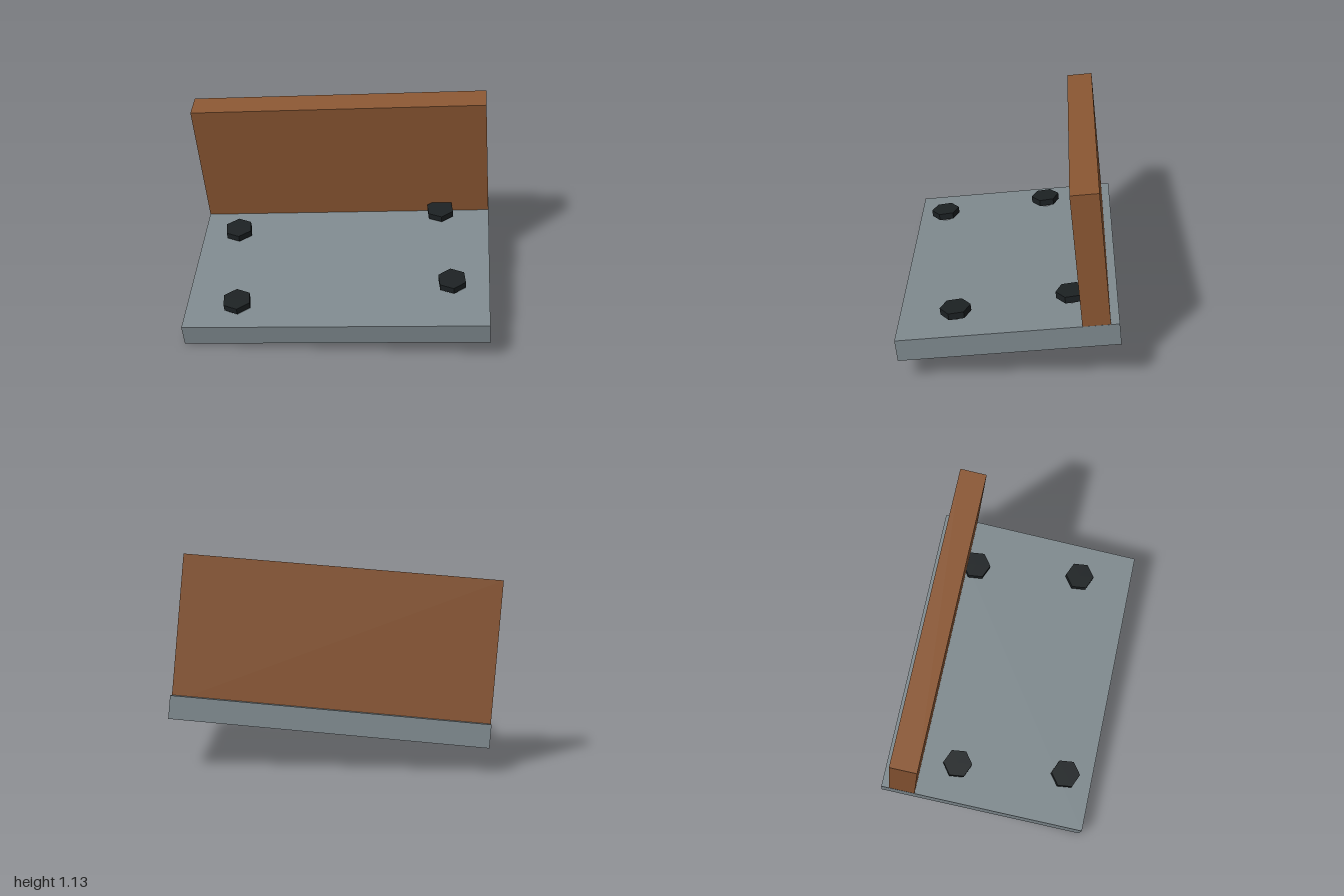
import * as THREE from 'three';

const mat = (color) => new THREE.MeshStandardMaterial({ color, flatShading: true });

export function createModel() {
  const model = new THREE.Group();
  model.name = 'bracket';

  // Tilted frame: origin at the middle of the plate's top face
  const frame = new THREE.Group();
  frame.name = 'tiltedBracket';
  frame.position.set(0.004, 0.259, 0.008);
  frame.rotation.set(0.112, 0.322, 0.079, 'YXZ');
  model.add(frame);

  const add = (parent, name, geometry, material, x, y, z) => {
    const mesh = new THREE.Mesh(geometry, material);
    mesh.name = name;
    mesh.position.set(x, y, z);
    parent.add(mesh);
    return mesh;
  };

  // Base plate
  add(frame, 'basePlate', new THREE.BoxGeometry(1.692, 0.124, 1.178), mat(0x7f8a8f), 0, -0.062, 0);

  // Upright panel, sunk a little into the plate near its back edge
  const top = 0.752, sink = 0.04;
  add(frame, 'uprightPanel', new THREE.BoxGeometry(1.69, top + sink, 0.148), mat(0x8b5733),
    0, (top - sink) / 2, -0.469);

  // Four hex bolts on a rectangle turned slightly against the plate
  const bolts = new THREE.Group();
  bolts.name = 'bolts';
  bolts.position.set(0.005, 0, 0.042);
  bolts.rotation.y = 0.126;
  frame.add(bolts);

  const headGeometry = new THREE.CylinderGeometry(0.083, 0.083, 0.038, 6);
  const shankGeometry = new THREE.CylinderGeometry(0.038, 0.038, 0.11, 20);
  const headMaterial = mat(0x1c2123);
  const shankMaterial = new THREE.MeshStandardMaterial({ color: 0x8f9599 });
  for (const sx of [-1, 1]) {
    for (const sz of [-1, 1]) {
      const bolt = new THREE.Group();
      bolt.name = 'bolt';
      bolt.position.set(sx * 0.6, 0, sz * 0.312);
      add(bolt, 'boltHead', headGeometry, headMaterial, 0, 0.041, 0);
      add(bolt, 'boltShank', shankGeometry, shankMaterial, 0, -0.025, 0);
      bolts.add(bolt);
    }
  }
  return model;
}
